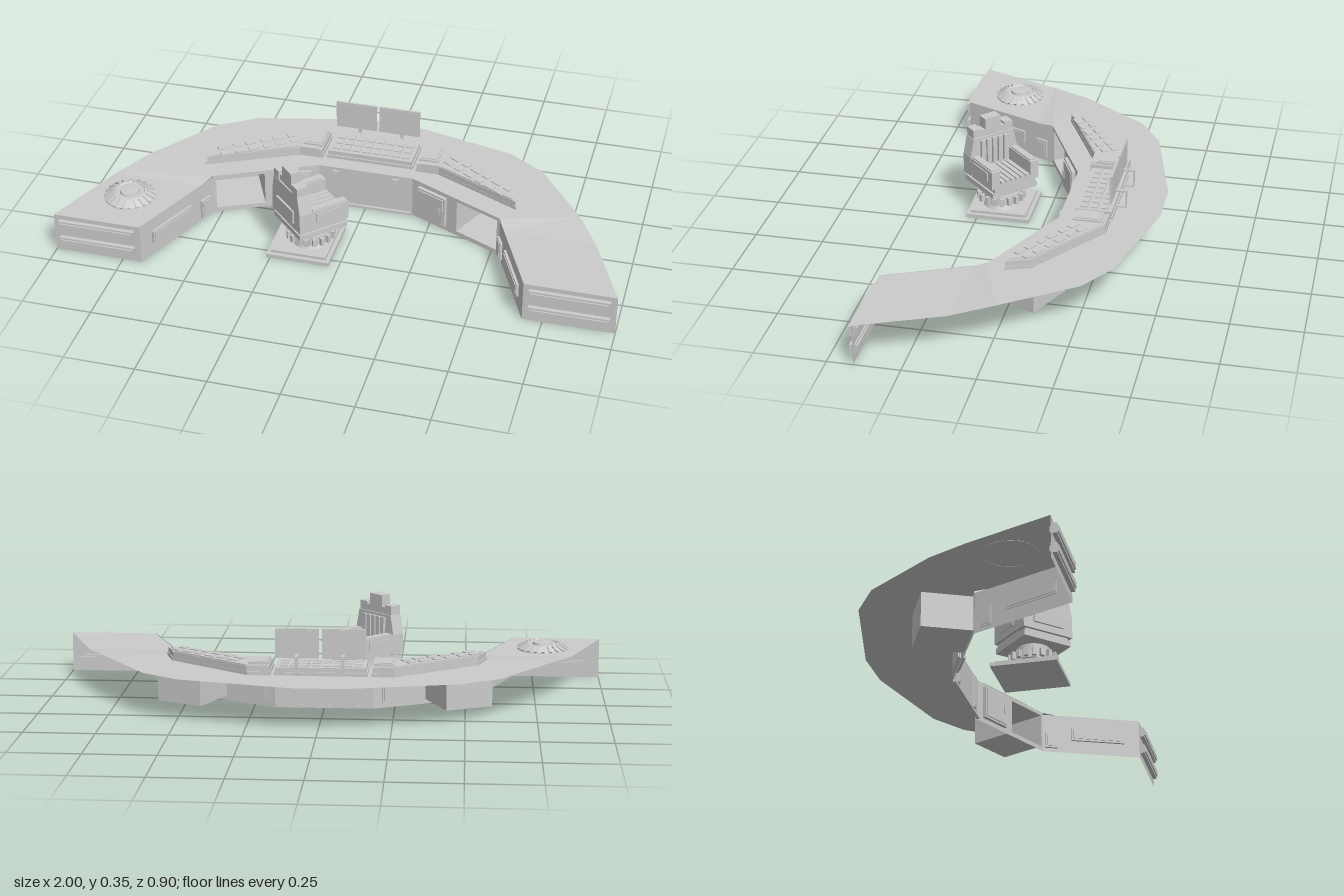
import * as THREE from 'three';

const mat = new THREE.MeshStandardMaterial({ color: 0xcccccc, flatShading: true, side: THREE.DoubleSide });

function add(parent, name, geo, x = 0, y = 0, z = 0, ry = 0) {
  const m = new THREE.Mesh(geo, mat);
  m.name = name;
  m.position.set(x, y, z);
  m.rotation.y = ry;
  parent.add(m);
  return m;
}
const box = (parent, name, w, h, d, x, y, z, ry = 0) =>
  add(parent, name, new THREE.BoxGeometry(w, h, d), x, y, z, ry);
const cyl = (parent, name, r1, r2, h, y, n = 24) =>
  add(parent, name, new THREE.CylinderGeometry(r1, r2, h, n), 0, y, 0);

function group(parent, name, x = 0, y = 0, z = 0, ry = 0) {
  const g = new THREE.Group();
  g.name = name;
  g.position.set(x, y, z);
  g.rotation.y = ry;
  parent.add(g);
  return g;
}

// Slab from a plan outline of [x, z] points
function slab(parent, name, pts, y, h) {
  const s = new THREE.Shape(pts.map(([x, z]) => new THREE.Vector2(x, -z)));
  const geo = new THREE.ExtrudeGeometry(s, { depth: h, bevelEnabled: false }).rotateX(-Math.PI / 2);
  return add(parent, name, geo, 0, y, 0);
}

// Upright wall from a to b; local x runs along it, local z faces the operator
function wall(parent, name, a, b, h, hole) {
  const dx = b[0] - a[0], dz = b[1] - a[1], len = Math.hypot(dx, dz);
  const g = group(parent, name, a[0], 0, a[1], Math.atan2(-dz, dx));
  const rect = (P, x0, y0, x1, y1) => {
    const p = new P();
    p.moveTo(x0, y0); p.lineTo(x1, y0); p.lineTo(x1, y1); p.lineTo(x0, y1); p.closePath();
    return p;
  };
  const s = rect(THREE.Shape, 0, 0, len, h);
  if (hole) s.holes.push(rect(THREE.Path, ...hole));
  add(g, name + 'Face', new THREE.ShapeGeometry(s));
  g.userData.len = len;
  return g;
}

// Raised panel with a smaller plate on it, visible on both faces of a wall
function panel(g, name, x0, x1, y0, y1, t = 0.012) {
  const w = x1 - x0, h = y1 - y0, x = (x0 + x1) / 2, y = (y0 + y1) / 2;
  box(g, name, w, h, t, x, y, t * 0.25);
  box(g, name + 'Plate', w - 0.014, h - 0.014, t * 1.5, x, y, t * 0.25);
}

function buildDesk(root) {
  const desk = group(root, 'desk');
  // Worktop: outer and inner edge pairs from one end to the other
  const half = [
    [-1, 0.43, -0.68, 0.43, 0.148], [-0.88, 0.125, -0.555, 0.125, 0.148],
    [-0.8, -0.015, -0.53, 0.068, 0.157], [-0.62, -0.265, -0.4, 0.007, 0.157],
    [-0.485, -0.352, -0.3, -0.04, 0.157], [-0.09, -0.447, -0.175, -0.1, 0.157],
  ];
  const rows = [...half, ...half.map(([a, b, c, d, y], i) =>
    [-a, i ? b : 0.41, -c, i ? d : 0.41, y]).reverse()];
  const pos = [], idx = [];
  rows.forEach(([ox, oz, ix, iz, y], i) => {
    pos.push(ox, y, oz, ix, y, iz);
    if (i) { const k = 2 * i; idx.push(k - 2, k - 1, k + 1, k - 2, k + 1, k); }
  });
  const top = new THREE.BufferGeometry();
  top.setAttribute('position', new THREE.Float32BufferAttribute(pos, 3));
  top.setIndex(idx);
  top.computeVertexNormals();
  add(desk, 'worktop', top);

  for (const s of [-1, 1]) {
    const side = s < 0 ? 'right' : 'left', ez = s < 0 ? 0.43 : 0.41;
    // Local span helper: distances measured from the outer end of a wall
    const seg = (name, outer, inner, h, hole) => {
      const len = Math.hypot(outer[0] - inner[0], outer[1] - inner[1]);
      const span = (u, v) => (s < 0 ? [u, v] : [len - v, len - u]);
      let hl;
      if (hole) { const [u, v] = span(hole[0], hole[1]); hl = [u, hole[2], v, hole[3]]; }
      const g = s < 0 ? wall(desk, name, outer, inner, h, hl) : wall(desk, name, inner, outer, h, hl);
      return [g, span];
    };
    // End panel with two rails
    const [end, es] = seg(side + 'EndPanel', [s, ez], [s * 0.68, ez], 0.148);
    for (const y of [0.045, 0.113]) panel(end, 'endRail', ...es(0.02, 0.3), y - 0.018, y + 0.018, 0.02);
    // Arm wall with long panel and small door
    const [arm, as] = seg(side + 'ArmWall', [s * 0.68, ez], [s * 0.53, 0.067], 0.15);
    panel(arm, 'armPanel', ...as(0.06, 0.265), 0.05, 0.1);
    panel(arm, 'armDoor', ...as(0.32, 0.368), 0.015, 0.087);
    // Angled wall with open bay and a door
    const [ang, gs] = seg(side + 'AngledWall', [s * 0.53, 0.067], [s * 0.175, -0.1], 0.157, [0.012, 0.19, 0.017, 0.143]);
    const [b0, b1] = gs(0.012, 0.19);
    const bay = new THREE.BoxGeometry(b1 - b0, 0.126, 0.178);
    const ix = Array.from(bay.index.array);
    ix.splice(24, 6); // open front
    bay.setIndex(ix);
    bay.clearGroups();
    add(ang, 'openBay', bay, (b0 + b1) / 2, 0.08, -0.089);
    panel(ang, 'angledDoor', ...gs(0.235, 0.36), 0.018, 0.14, 0.018);
    const [h0, h1] = gs(0.25, 0.26);
    box(ang, 'doorHandle', h1 - h0, 0.03, 0.012, (h0 + h1) / 2, 0.08, 0.016);
  }
  // Centre wall
  const mid = wall(desk, 'centreWall', [-0.175, -0.1], [0.175, -0.1], 0.157);
  for (const x of [0.05, 0.275]) panel(mid, 'centreDoor', x, x + 0.025, 0.02, 0.145);
  box(mid, 'kickStrip', 0.34, 0.01, 0.01, 0.175, 0.005, 0.004);
}

function buildConsole(root) {
  const con = group(root, 'console');
  for (const s of [-1, 1]) {
    const wing = group(con, s < 0 ? 'rightWing' : 'leftWing');
    const pts = [[0.575, 0.005], [0.545, -0.08], [0.255, -0.283], [0.175, -0.283], [0.175, -0.145], [0.26, -0.145]];
    const inset = (k) => pts.map(([x, z]) => [s * (0.36 + (x - 0.36) * k), -0.15 + (z + 0.15) * k]);
    slab(wing, 'wingBase', inset(1), 0.16, 0.012);
    slab(wing, 'wingBody', inset(0.98), 0.172, 0.02);
    slab(wing, 'wingTop', inset(0.92), 0.192, 0.004);
    // Controls run along the slanted wing
    const ctl = group(wing, 'wingControls', s * 0.41, 0.197, -0.12, -s * 0.58);
    for (let i = 0; i < 6; i++)
      for (let j = 0; j < 2; j++)
        box(ctl, 'controlKey', i % 2 ? 0.03 : 0.04, 0.005, 0.022, (i - 2.5) * 0.052, 0, (j - 0.5) * 0.038);
    box(wing, 'cornerPad', 0.07, 0.008, 0.1, s * 0.218, 0.198, -0.215);
    box(wing, 'cornerPadFace', 0.055, 0.004, 0.085, s * 0.218, 0.203, -0.215);
    // Screen on a thin bent arm
    box(con, 'screen', 0.152, 0.105, 0.008, s * 0.081, 0.275, -0.28);
    box(con, 'screenFace', 0.142, 0.095, 0.01, s * 0.081, 0.275, -0.28);
    box(con, 'screenFoot', 0.012, 0.005, 0.04, s * 0.08, 0.175, -0.303);
    box(con, 'screenPost', 0.012, 0.065, 0.004, s * 0.08, 0.205, -0.323);
    box(con, 'screenBracket', 0.012, 0.006, 0.04, s * 0.08, 0.236, -0.303);
  }
  // Centre keyboard
  box(con, 'centreBase', 0.325, 0.012, 0.14, 0, 0.168, -0.22);
  box(con, 'centreBody', 0.315, 0.016, 0.13, 0, 0.182, -0.22);
  for (let i = 0; i < 8; i++)
    for (let j = 0; j < 3; j++)
      box(con, 'centreKey', 0.028, 0.005, 0.026, (i - 3.5) * 0.037, 0.192, -0.22 + (j - 1) * 0.037);
}

function buildDome(root) {
  const dome = group(root, 'domeUnit', -0.78, 0.147, 0.25);
  const prof = [[0.092, 0], [0.09, 0.006], [0.07, 0.018], [0.055, 0.024], [0.052, 0.02], [0.036, 0.02], [0.034, 0.028], [0, 0.03]];
  add(dome, 'domeShell', new THREE.LatheGeometry(prof.map((p) => new THREE.Vector2(...p)), 24));
  for (let i = 0; i < 20; i++) {
    const a = (i / 20) * Math.PI * 2;
    const fin = box(dome, 'domeFin', 0.034, 0.006, 0.01, Math.cos(a) * 0.077, 0.015, -Math.sin(a) * 0.077, a);
    fin.rotation.order = 'YXZ';
    fin.rotation.z = -0.5;
  }
}

function buildChair(root) {
  const base = group(root, 'chairBase', -0.15, 0, 0.172);
  box(base, 'floorPlate', 0.23, 0.014, 0.235, 0, 0.007, 0);
  box(base, 'upperPlate', 0.2, 0.01, 0.205, 0, 0.019, 0);

  const chair = group(root, 'chair', -0.13, 0, 0.178, -Math.PI / 4);
  // Swivel with toothed ring
  cyl(chair, 'pedestal', 0.05, 0.065, 0.03, 0.038);
  cyl(chair, 'swivelRing', 0.075, 0.075, 0.035, 0.067);
  for (let i = 0; i < 18; i++) {
    const a = (i / 18) * Math.PI * 2;
    box(chair, 'ringTooth', 0.02, 0.028, 0.014, Math.cos(a) * 0.079, 0.067, -Math.sin(a) * 0.079, a);
  }
  cyl(chair, 'swivelNeck', 0.06, 0.06, 0.03, 0.098);
  // Seat, ribbed cushion and armrests
  box(chair, 'seatPan', 0.19, 0.02, 0.19, 0, 0.118, 0);
  box(chair, 'seat', 0.175, 0.035, 0.185, 0, 0.143, -0.005);
  for (let i = 0; i < 6; i++) box(chair, 'seatRib', 0.016, 0.01, 0.14, (i - 2.5) * 0.021, 0.165, -0.03);
  for (const s of [-1, 1]) {
    box(chair, 'armrest', 0.034, 0.07, 0.15, s * 0.082, 0.18, -0.023);
    box(chair, 'armrestPad', 0.026, 0.006, 0.13, s * 0.082, 0.217, -0.023);
    box(chair, 'armrestSidePlate', 0.006, 0.035, 0.1, s * 0.1, 0.187, -0.02);
    box(chair, 'shoulder', 0.034, 0.045, 0.045, s * 0.066, 0.296, 0.075);
  }
  // Tapered backrest with ribs, rear plate and headrest
  const back = new THREE.Shape([[-0.1, 0.14], [0.1, 0.14], [0.1, 0.215], [0.085, 0.285], [-0.085, 0.285], [-0.1, 0.215]]
    .map((p) => new THREE.Vector2(...p)));
  add(chair, 'backrest', new THREE.ExtrudeGeometry(back, { depth: 0.05, bevelEnabled: false }), 0, 0, 0.048);
  for (let i = 0; i < 5; i++) box(chair, 'backRib', 0.018, 0.1, 0.012, (i - 2) * 0.024, 0.225, 0.044);
  box(chair, 'backPlate', 0.12, 0.05, 0.01, 0, 0.19, 0.1);
  box(chair, 'headrestNeck', 0.1, 0.03, 0.04, 0, 0.295, 0.073);
  box(chair, 'headrest', 0.065, 0.05, 0.04, 0, 0.327, 0.073);
}

export function createModel() {
  const root = new THREE.Group();
  root.name = 'controlStation';
  buildDesk(root);
  buildConsole(root);
  buildDome(root);
  buildChair(root);
  return root;
}
